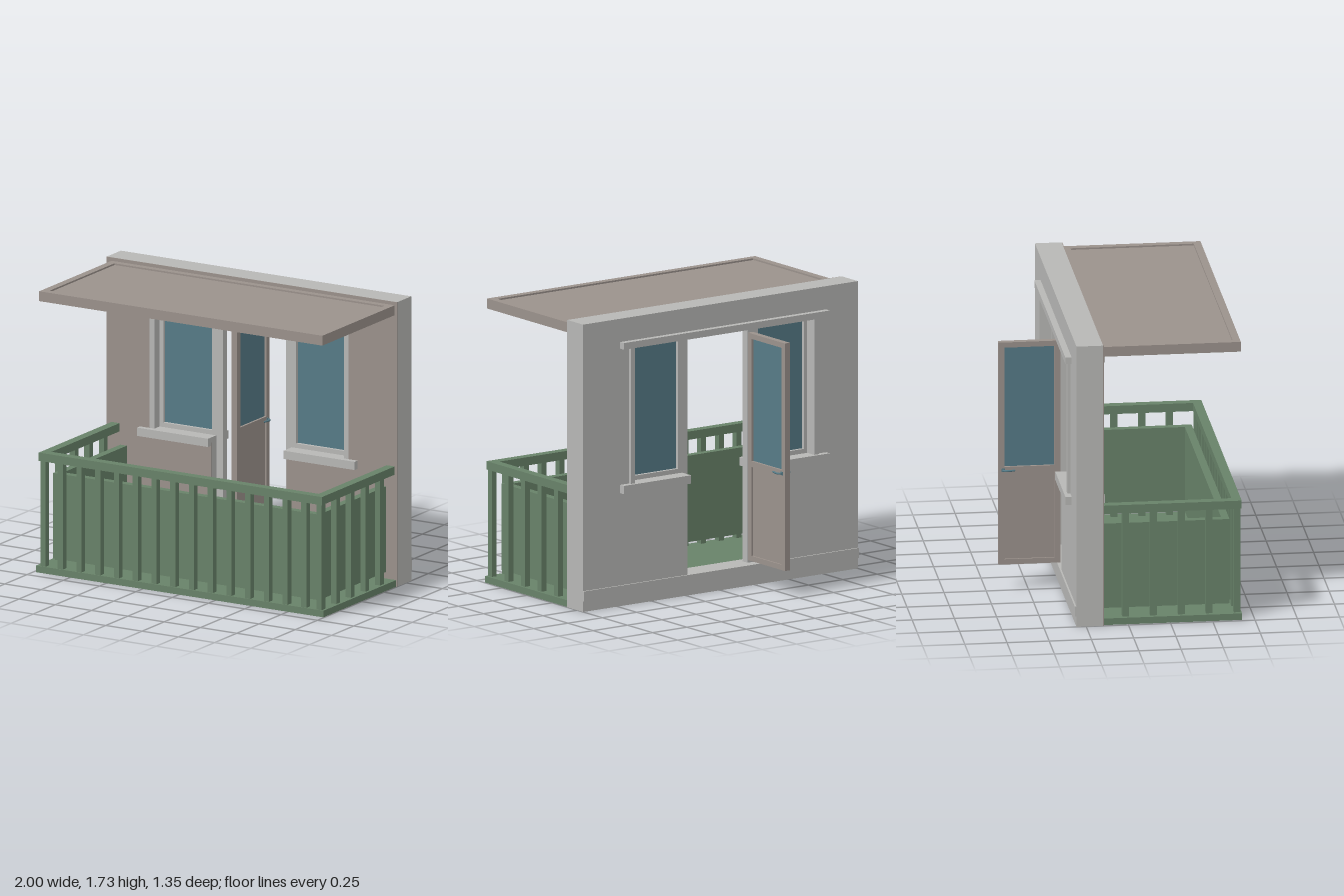
import * as THREE from 'three';

const mat = (name, color) => {
  const m = new THREE.MeshStandardMaterial({ color });
  m.name = name;
  return m;
};

export function createModel() {
  const model = new THREE.Group();
  model.name = 'balcony';
  const grey = mat('pale grey', 0xb7b7b5);
  const brown = mat('warm taupe', 0x9b928c);
  const green = mat('rail green', 0x688269);
  const glass = mat('blue glass', 0x567b87);

  const group = (name) => {
    const g = new THREE.Group();
    g.name = name;
    model.add(g);
    return g;
  };
  // box given by its extents on each axis
  const box = (parent, name, m, x0, x1, y0, y1, z0, z1) => {
    const mesh = new THREE.Mesh(new THREE.BoxGeometry(x1 - x0, y1 - y0, z1 - z0), m);
    mesh.position.set((x0 + x1) / 2, (y0 + y1) / 2, (z0 + z1) / 2);
    mesh.name = name;
    parent.add(mesh);
  };
  const poly = (pts) => pts.map(([x, y]) => new THREE.Vector2(x, y));

  // Wall with one opening for two windows and a door, painted on its front
  const wall = group('wall');
  const shape = new THREE.Shape(poly([[-1, 0], [1, 0], [1, 1.73], [-1, 1.73]]));
  shape.holes.push(new THREE.Path(poly([
    [-0.28, 0.04], [-0.28, 0.7], [-0.705, 0.7], [-0.705, 1.56],
    [0.665, 1.56], [0.665, 0.7], [0.24, 0.7], [0.24, 0.04],
  ])));
  const slab = (name, m, z0, z1) => {
    const geo = new THREE.ExtrudeGeometry(shape, { depth: z1 - z0, bevelEnabled: false });
    const mesh = new THREE.Mesh(geo, m);
    mesh.position.z = z0;
    mesh.name = name;
    wall.add(mesh);
  };
  slab('wallBody', grey, -0.308, -0.15);
  slab('wallFrontPaint', brown, -0.15, -0.146);
  box(wall, 'skirting', grey, -1, 1, 0.065, 0.125, -0.318, -0.3);
  box(wall, 'threshold', grey, -0.28, 0.24, 0.03, 0.125, -0.308, -0.16);

  // Lintel, sills and side linings
  const trim = group('openingTrim');
  box(trim, 'lintel', grey, -0.77, 0.73, 1.55, 1.59, -0.345, -0.112);
  box(trim, 'rightSill', grey, -0.77, -0.28, 0.68, 0.73, -0.345, -0.112);
  box(trim, 'leftSill', grey, 0.24, 0.73, 0.68, 0.73, -0.345, -0.112);
  box(trim, 'rightLining', grey, -0.705, -0.67, 0.73, 1.55, -0.325, -0.147);
  box(trim, 'leftLining', grey, 0.635, 0.665, 0.73, 1.55, -0.325, -0.147);

  // Window and door frames
  const frames = group('frames');
  const zb = -0.255, zf = -0.205;
  box(frames, 'frameHead', grey, -0.67, 0.635, 1.525, 1.55, zb, zf);
  for (const [name, x0, a, b, x1] of [
    ['rightWindow', -0.67, -0.645, -0.31, -0.235],
    ['leftWindow', 0.2, 0.27, 0.61, 0.635],
  ]) {
    box(frames, name + 'StileA', grey, x0, a, 0.73, 1.525, zb, zf);
    box(frames, name + 'StileB', grey, b, x1, 0.73, 1.525, zb, zf);
    box(frames, name + 'BottomRail', grey, a, b, 0.73, 0.757, zb, zf);
    box(frames, name + 'Glass', glass, a, b, 0.757, 1.525, -0.235, -0.225);
  }
  box(frames, 'hingePost', grey, -0.28, -0.235, 0.125, 0.73, zb, zf);
  box(frames, 'latchPost', grey, 0.2, 0.24, 0.125, 0.73, zb, zf);

  // Door standing open at a right angle behind the wall
  const door = group('door');
  const dx0 = -0.237, dx1 = -0.2;
  box(door, 'hingeStile', brown, dx0, dx1, 0.155, 1.525, -0.345, -0.308);
  box(door, 'latchStile', brown, dx0, dx1, 0.155, 1.525, -0.675, -0.64);
  for (const [y0, y1] of [[0.155, 0.187], [0.722, 0.757], [1.493, 1.525]])
    box(door, 'doorRail', brown, dx0, dx1, y0, y1, -0.64, -0.345);
  box(door, 'lowerPanel', brown, -0.227, -0.21, 0.187, 0.722, -0.64, -0.345);
  box(door, 'doorGlass', glass, -0.223, -0.214, 0.757, 1.493, -0.64, -0.345);
  for (const s of [-1, 1]) {
    const at = (out, z) => new THREE.Vector3(-0.2185 + s * out, 0.738, z);
    const path = new THREE.CatmullRomCurve3(
      [at(0.017, -0.648), at(0.034, -0.648), at(0.042, -0.635), at(0.04, -0.61), at(0.034, -0.58)]);
    const handle = new THREE.Mesh(new THREE.TubeGeometry(path, 16, 0.006, 8), glass);
    handle.name = 'doorHandle';
    door.add(handle);
    box(door, 'handlePlate', glass, -0.2185 + s * 0.02 - 0.003, -0.2185 + s * 0.02 + 0.003,
      0.728, 0.748, -0.658, -0.638);
  }

  // Canopy: rim around a slightly recessed sheet
  const roof = group('canopy');
  box(roof, 'frontRim', brown, -0.965, 0.985, 1.65, 1.71, 0.625, 0.67);
  box(roof, 'backRim', brown, -0.965, 0.985, 1.65, 1.71, -0.146, -0.105);
  box(roof, 'rightRim', brown, -0.965, -0.92, 1.65, 1.71, -0.105, 0.625);
  box(roof, 'leftRim', brown, 0.94, 0.985, 1.65, 1.71, -0.105, 0.625);
  box(roof, 'sheet', brown, -0.92, 0.94, 1.665, 1.7, -0.105, 0.625);

  // Floor, handrail and infill panels
  const rail = group('balustrade');
  box(rail, 'floor', green, -0.985, 0.995, 0, 0.04, -0.146, 0.675);
  box(rail, 'frontHandrail', green, -0.965, 0.985, 0.68, 0.73, 0.62, 0.675);
  box(rail, 'rightHandrail', green, -0.965, -0.91, 0.68, 0.73, -0.146, 0.62);
  box(rail, 'leftHandrail', green, 0.93, 0.985, 0.68, 0.73, -0.146, 0.62);
  box(rail, 'frontPanel', green, -0.905, 0.925, 0.08, 0.6, 0.565, 0.61);
  box(rail, 'rightPanel', green, -0.905, -0.86, 0.08, 0.6, -0.146, 0.565);
  box(rail, 'leftPanel', green, 0.88, 0.925, 0.08, 0.6, -0.146, 0.565);

  // Balusters along the front and both sides
  const baluster = (x, z) =>
    box(rail, 'baluster', green, x - 0.018, x + 0.018, 0.04, 0.68, z - 0.02, z + 0.02);
  for (let i = 0; i < 14; i++) baluster(-0.82 + 0.129 * i, 0.649);
  for (const x of [-0.94, 0.962])
    for (let i = 0; i < 5; i++) baluster(x, 0.649 - 0.165 * i);

  return model;
}
